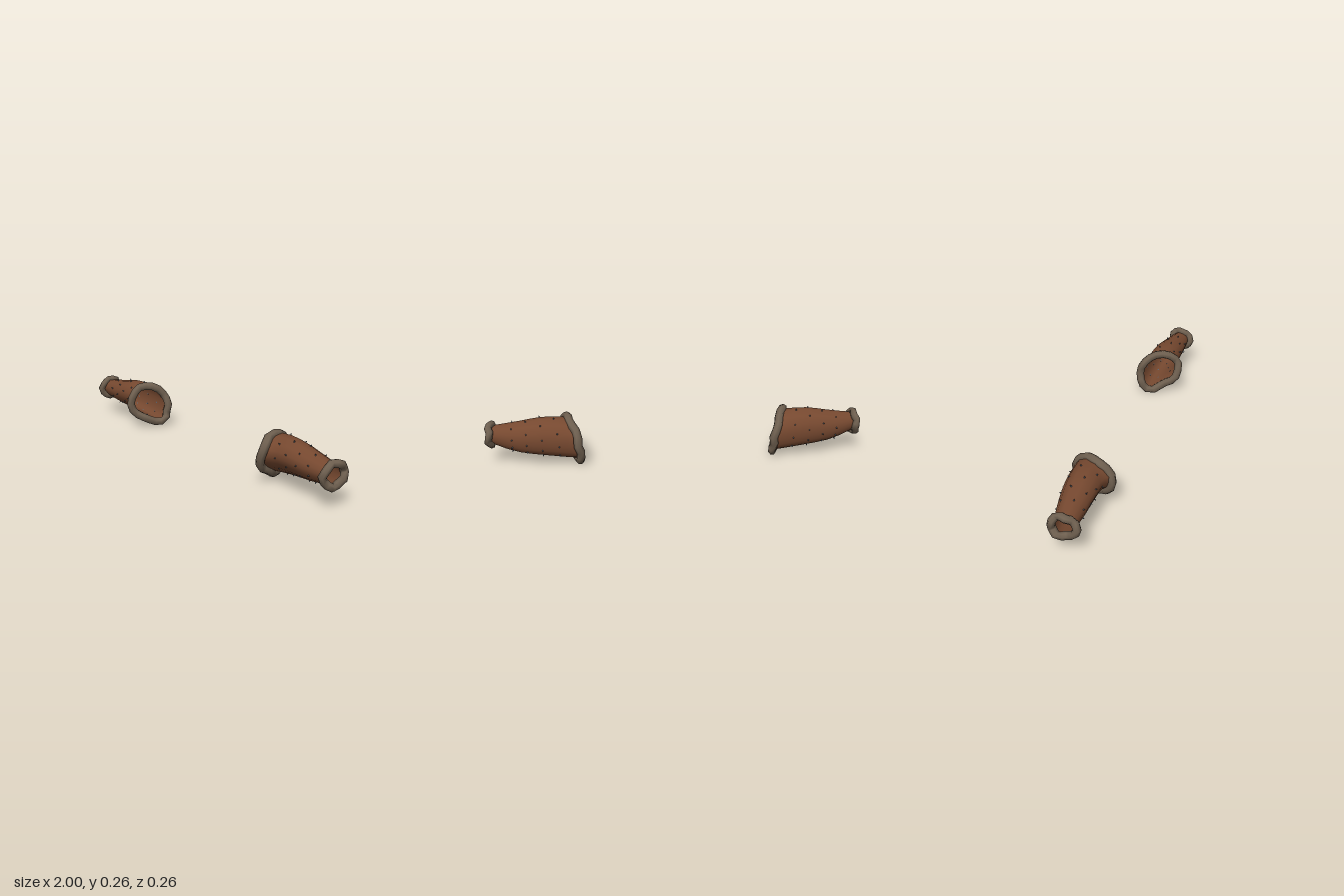
import * as THREE from 'three';

// Wide-end outline as [z, y], anticlockwise from the front
const WIDE = [[0.105, 0.15], [0.093, 0.197], [0.035, 0.24], [-0.045, 0.238], [-0.1, 0.185], [-0.112, 0.13],
  [-0.105, 0.08], [-0.085, 0.045], [-0.045, 0.03], [0.02, 0.06], [0.075, 0.1]];
const wideCurve = new THREE.CatmullRomCurve3(WIDE.map(([z, y]) => new THREE.Vector3(0, y, z)), true);
const SIDES = 16;

// The wide mouth is cut at a slant, longest at the lower back
const slant = (y, z) => 0.32 * z + 0.15 * (y - 0.15);

// Point on the leather: u runs around the arm, t from wide mouth to wrist
function sleevePoint(u, t, side) {
  const p = wideCurve.getPoint(u % 1);
  const a = Math.atan2(p.y - 0.142, p.z);
  const w = 1 - Math.pow(t, 2);
  const squeeze = Math.min(t / 0.12, 1);
  const bz = p.z * (0.97 - 0.15 * squeeze) - 0.012 * squeeze;
  const by = 0.147 + (p.y - 0.142) * 0.96 + 0.012 * Math.sin(Math.PI * Math.min(1, t * 1.4));
  const z = THREE.MathUtils.lerp(0.012 + 0.047 * Math.cos(a), bz, w);
  const y = THREE.MathUtils.lerp(0.163 + 0.047 * Math.sin(a), by, w);
  const x = 0.555 + 0.41 * t + slant(p.y, p.z) * Math.pow(1 - t, 3);
  return new THREE.Vector3(side * x, y, z);
}

function sleeveGeometry(side) {
  const steps = [0, 0.1, 0.22, 0.36, 0.5, 0.65, 0.82, 1];
  const pos = [], index = [];
  steps.forEach((t, r) => {
    for (let i = 0; i < SIDES; i++) {
      pos.push(...sleevePoint(i / SIDES, t, side).toArray());
      if (r === steps.length - 1) continue;
      const j = (i + 1) % SIDES;
      const a = r * SIDES + i, b = r * SIDES + j, c = a + SIDES, d = b + SIDES;
      if (side > 0) index.push(a, c, b, b, c, d);
      else index.push(a, b, c, b, d, c);
    }
  });
  const geo = new THREE.BufferGeometry();
  geo.setAttribute('position', new THREE.Float32BufferAttribute(pos, 3));
  geo.setIndex(index);
  geo.computeVertexNormals();
  return geo;
}

// Small seeded generator giving -1..1
function seeded(seed) {
  return () => {
    seed = (seed * 16807) % 2147483647;
    return (seed / 2147483647) * 2 - 1;
  };
}

// Lumpy fur roll through a loop of points
function furRoll(points, radius, segments, rand) {
  const c = points.reduce((s, p) => s.add(p), new THREE.Vector3()).divideScalar(points.length);
  const lumpy = points.map((p, i) => {
    const q = p.clone().sub(c).multiplyScalar(1 + 0.07 * rand()).add(c);
    q.x += (i % 2 ? 0.006 : -0.006) + 0.004 * rand();
    return q;
  });
  const curve = new THREE.CatmullRomCurve3(lumpy, true);
  return new THREE.TubeGeometry(curve, segments, radius, 7, true);
}

export function createModel() {
  const leather = new THREE.MeshStandardMaterial({ color: 0x774930, side: THREE.DoubleSide });
  const fur = new THREE.MeshStandardMaterial({ color: 0x6f6050 });
  const metal = new THREE.MeshStandardMaterial({ color: 0x59636e });
  leather.name = 'leather';
  fur.name = 'fur';
  metal.name = 'metal';

  const model = new THREE.Group();
  model.name = 'armGuards';
  const studGeo = new THREE.ConeGeometry(0.005, 0.012, 5);

  for (const side of [1, -1]) {
    const guard = new THREE.Group();
    guard.name = side > 0 ? 'leftArmGuard' : 'rightArmGuard';
    const add = (geo, mat, name) => {
      const mesh = new THREE.Mesh(geo, mat);
      mesh.name = name;
      guard.add(mesh);
      return mesh;
    };
    const rand = seeded(side > 0 ? 4127 : 9341);

    add(sleeveGeometry(side), leather, 'sleeve');

    // Fur trim at the elbow end
    const elbow = WIDE.map(([z, y]) => new THREE.Vector3(side * (0.552 + slant(y, z)), y, z));
    add(furRoll(elbow, 0.023, 18, rand), fur, 'elbowTrim');

    // Fur trim at the wrist
    const wrist = [];
    for (let i = 0; i < 9; i++) {
      const a = (i / 9) * Math.PI * 2;
      wrist.push(new THREE.Vector3(side * (0.968 - 0.06 * Math.cos(a) * 0.1), 0.163 + 0.053 * Math.sin(a), 0.015 + 0.06 * Math.cos(a)));
    }
    add(furRoll(wrist, 0.02, 14, rand), fur, 'wristTrim');

    // Staggered rows of pointed studs
    [0.2, 0.38, 0.56, 0.74].forEach((t, row) => {
      for (let i = 0; i < 8; i++) {
        const u = (i + (row % 2) * 0.5) / 8;
        const p = sleevePoint(u, t, side);
        const around = sleevePoint(u + 0.02, t, side).sub(p);
        const along = sleevePoint(u, t + 0.02, side).sub(p);
        const out = along.cross(around).multiplyScalar(side).normalize();
        if (out.dot(new THREE.Vector3(0, p.y - 0.15, p.z)) < 0) out.negate();
        const stud = add(studGeo, metal, 'stud');
        stud.position.copy(p).addScaledVector(out, 0.004);
        stud.quaternion.setFromUnitVectors(new THREE.Vector3(0, 1, 0), out);
      }
    });
    model.add(guard);
  }
  return model;
}
